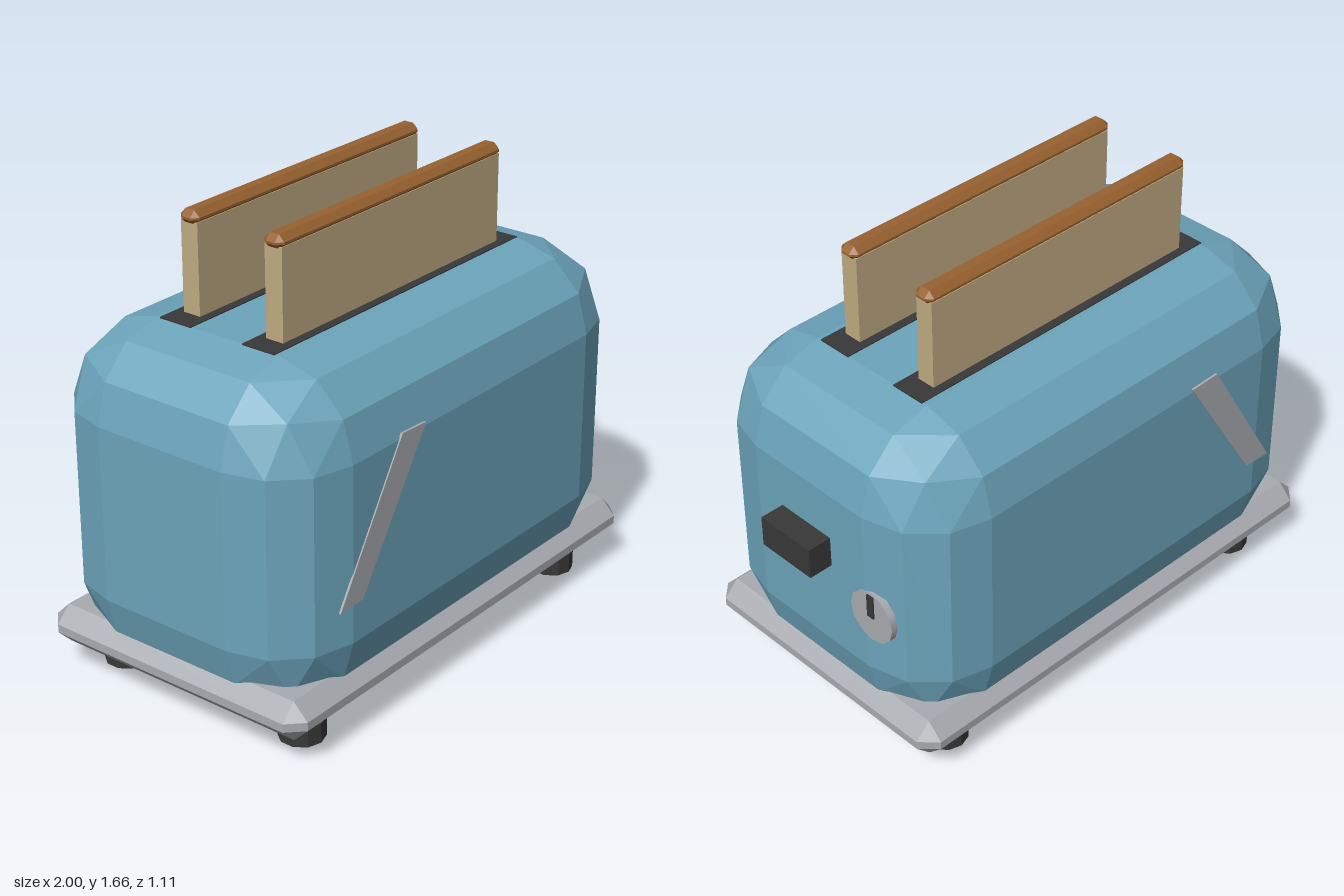
import * as THREE from 'three';
import { ConvexGeometry } from 'three/addons/geometries/ConvexGeometry.js';

const flat = (name, color) => {
  const m = new THREE.MeshStandardMaterial({ color });
  m.name = name;
  return m;
};

// Faceted rounded box: each corner is an octant with n steps per quarter turn
function bevelBox(w, h, d, r, n) {
  const pts = [];
  const s = (k) => Math.sin((k / n) * Math.PI / 2);
  for (const sx of [-1, 1]) for (const sy of [-1, 1]) for (const sz of [-1, 1])
    for (let a = 0; a <= n; a++) for (let b = 0; b <= n - a; b++) {
      const v = new THREE.Vector3(s(a), s(b), s(n - a - b)).normalize().multiplyScalar(r);
      v.add(new THREE.Vector3(w / 2 - r, h / 2 - r, d / 2 - r));
      pts.push(v.multiply(new THREE.Vector3(sx, sy, sz)));
    }
  return new ConvexGeometry(pts);
}

export function createModel() {
  const group = new THREE.Group();
  group.name = 'toaster';
  const blue = flat('blue enamel', 0x6ca4bb);
  const silver = flat('silver trim', 0xa8abb0);
  const dark = flat('dark plastic', 0x383838);
  const bread = flat('bread', 0xc0ab82);
  const crust = flat('crust', 0x97612f);
  const darkOpen = flat('dark plastic shell', 0x383838);
  darkOpen.side = THREE.DoubleSide;

  const add = (name, geo, mat, x, y, z) => {
    const m = new THREE.Mesh(geo, mat);
    m.name = name;
    m.position.set(x, y, z);
    group.add(m);
    return m;
  };
  const cx = -0.05;

  // Body and base tray
  add('body', bevelBox(1.89, 1.215, 1.1, 0.29, 3), blue, cx, 0.6875, 0);
  add('base', bevelBox(1.905, 0.145, 1.11, 0.057, 1), silver, -0.0475, 0.1775, 0);

  // Feet
  for (const x of [-0.777, 0.68]) for (const z of [-0.392, 0.392]) {
    const geo = new THREE.CylinderGeometry(0.0815, 0.0815, 0.073, 10).toNonIndexed();
    geo.computeVertexNormals();
    add('foot', geo, dark, x, 0.0365, z);
  }

  // Slots with toast
  for (const z of [-0.175, 0.175]) {
    add('slot', new THREE.BoxGeometry(1.32, 0.008, 0.134), dark, cx, 1.2945, z);
    add('toastSlice', new THREE.BoxGeometry(1.16, 0.42, 0.07), bread, cx, 1.41, z);
    add('toastCrust', bevelBox(1.19, 0.052, 0.08, 0.022, 1), crust, cx, 1.632, z);
  }

  // Lever cap, a shell open below and toward the body
  const cap = new THREE.BoxGeometry(0.09, 0.115, 0.236);
  const idx = Array.from(cap.index.array);
  cap.setIndex([0, 2, 4, 5].flatMap((f) => idx.slice(f * 6, f * 6 + 6)));
  cap.clearGroups();
  add('lever', cap, darkOpen, 0.955, 0.7875, 0.002);

  // Browning dial and its pointer
  const dial = add('dial', new THREE.CylinderGeometry(0.1, 0.1, 0.025, 12), silver, 0.886, 0.61, -0.29);
  dial.rotation.z = -Math.PI / 2;
  add('dialPointer', new THREE.BoxGeometry(0.008, 0.09, 0.03), dark, 0.9, 0.655, -0.29);

  // Slanted trim stripe on front and back
  const stripe = new THREE.Shape([[-0.775, 0.51], [-0.66, 0.515], [-0.335, 1.02], [-0.46, 1.025]]
    .map(([x, y]) => new THREE.Vector2(x, y)));
  for (const z of [0.547, -0.555])
    add('stripe', new THREE.ExtrudeGeometry(stripe, { depth: 0.008, bevelEnabled: false }), silver, 0, 0, z);

  return group;
}
